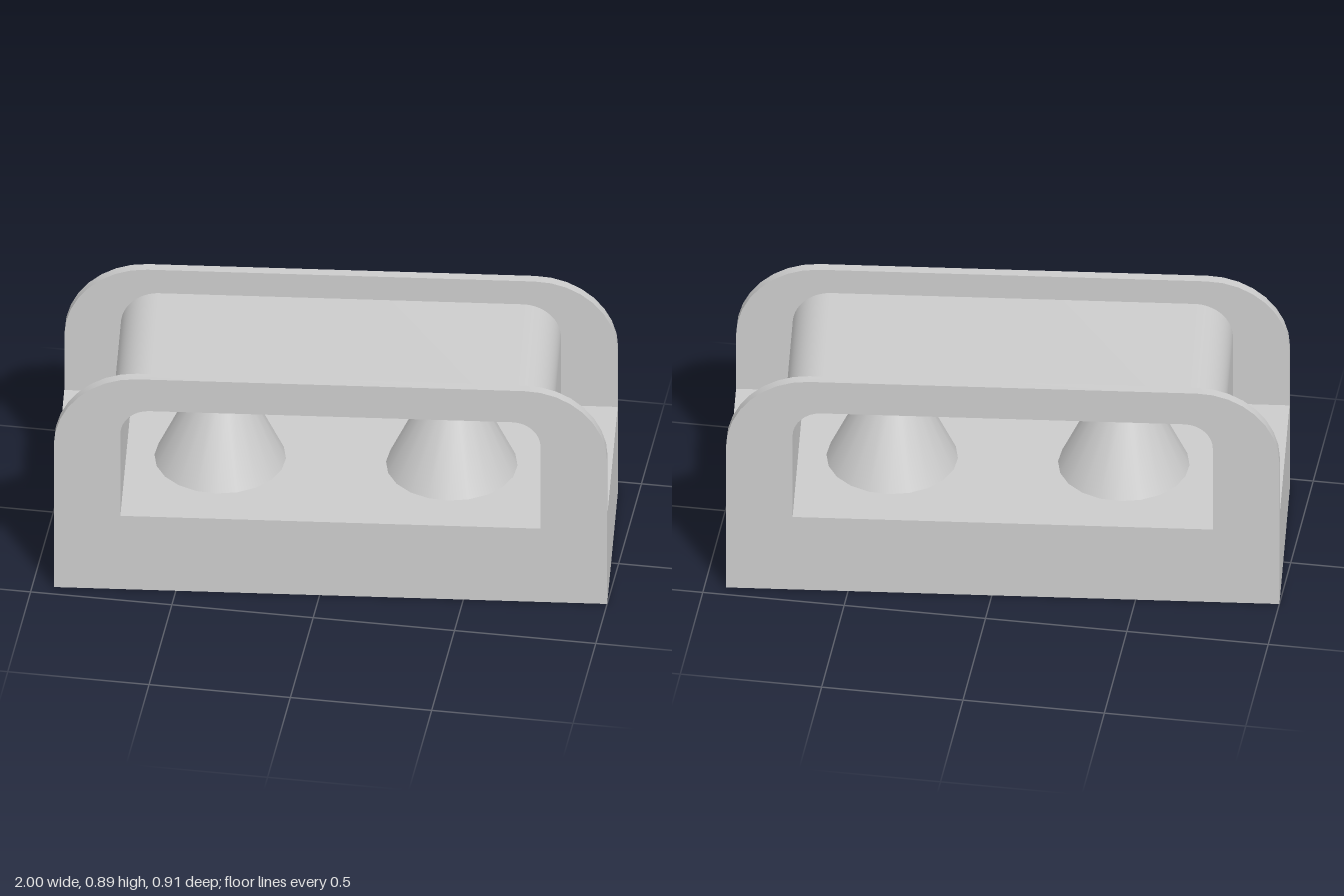
import * as THREE from 'three';
import { toCreasedNormals } from 'three/addons/utils/BufferGeometryUtils.js';

const HALF_W = 0.968, HALF_D = 0.357, WALL = 0.035;
const FLOOR = 0.31, LEDGE = 0.37;
const IN_W = 0.735, IN_TOP = 0.757, IN_R = 0.1;
const material = new THREE.MeshStandardMaterial({ color: 0xcccccc });

// Trace an upright outline with a flat bottom and two rounded top corners
function arch(path, halfW, bottom, top, r) {
  path.moveTo(-halfW, bottom);
  path.lineTo(halfW, bottom);
  path.lineTo(halfW, top - r);
  path.absarc(halfW - r, top - r, r, 0, Math.PI / 2, false);
  path.lineTo(-halfW + r, top);
  path.absarc(-halfW + r, top - r, r, Math.PI / 2, Math.PI, false);
  path.closePath();
  return path;
}

function extrude(shape, depth, curveSegments) {
  const geo = new THREE.ExtrudeGeometry(shape, { depth, curveSegments, bevelEnabled: false });
  return toCreasedNormals(geo, 0.5);
}

function add(parent, name, geo, x = 0, y = 0, z = 0) {
  const mesh = new THREE.Mesh(geo, material);
  mesh.name = name;
  mesh.position.set(x, y, z);
  parent.add(mesh);
  return mesh;
}

// Waisted roller: two cones on a vertical pin
function makeRoller(name, x) {
  const roller = new THREE.Group();
  roller.name = name;
  roller.position.x = x;
  const section = (part, rTop, rBottom, y0, y1) =>
    add(roller, part, new THREE.CylinderGeometry(rTop, rBottom, y1 - y0, 20), 0, (y0 + y1) / 2, 0);
  section('pin', 0.057, 0.057, FLOOR, IN_TOP);
  section('lowerCone', 0.1, 0.23, 0.33, 0.61);
  section('upperCone', 0.23, 0.1, 0.61, 0.737);
  return roller;
}

export function createModel() {
  const model = new THREE.Group();
  model.name = 'rollerFairlead';
  const body = new THREE.Group();
  body.name = 'body';
  body.rotation.y = 0.106;
  model.add(body);

  // Front and back plates with the rounded opening
  const plate = arch(new THREE.Shape(), HALF_W, 0, 0.89, 0.29);
  plate.holes.push(arch(new THREE.Path(), IN_W, FLOOR, IN_TOP, IN_R));
  const plateGeo = extrude(plate, WALL, 4);
  add(body, 'frontPlate', plateGeo, 0, 0, HALF_D - WALL);
  add(body, 'backPlate', plateGeo, 0, 0, -HALF_D);

  // Tunnel sleeve joining the two openings
  const sleeve = arch(new THREE.Shape(), IN_W + WALL, FLOOR, IN_TOP + WALL, IN_R + WALL);
  sleeve.holes.push(arch(new THREE.Path(), IN_W, FLOOR, IN_TOP, IN_R));
  const depth = 2 * (HALF_D - WALL);
  add(body, 'tunnel', extrude(sleeve, depth, 8), 0, 0, -depth / 2);

  // Base: tunnel floor, raised ledges and end walls, hollow underneath
  add(body, 'floor', new THREE.BoxGeometry(2 * IN_W, WALL, depth), 0, FLOOR - WALL / 2, 0);
  const ledgeW = HALF_W - IN_W, ledgeH = LEDGE - FLOOR + WALL;
  const ledgeGeo = new THREE.BoxGeometry(ledgeW, ledgeH, depth);
  const endGeo = new THREE.BoxGeometry(WALL, LEDGE - ledgeH, depth);
  for (const [side, s] of [['left', 1], ['right', -1]]) {
    add(body, side + 'Ledge', ledgeGeo, s * (IN_W + ledgeW / 2), LEDGE - ledgeH / 2, 0);
    add(body, side + 'EndWall', endGeo, s * (HALF_W - WALL / 2), (LEDGE - ledgeH) / 2, 0);
    body.add(makeRoller(side + 'Roller', s * 0.405));
  }
  return model;
}
